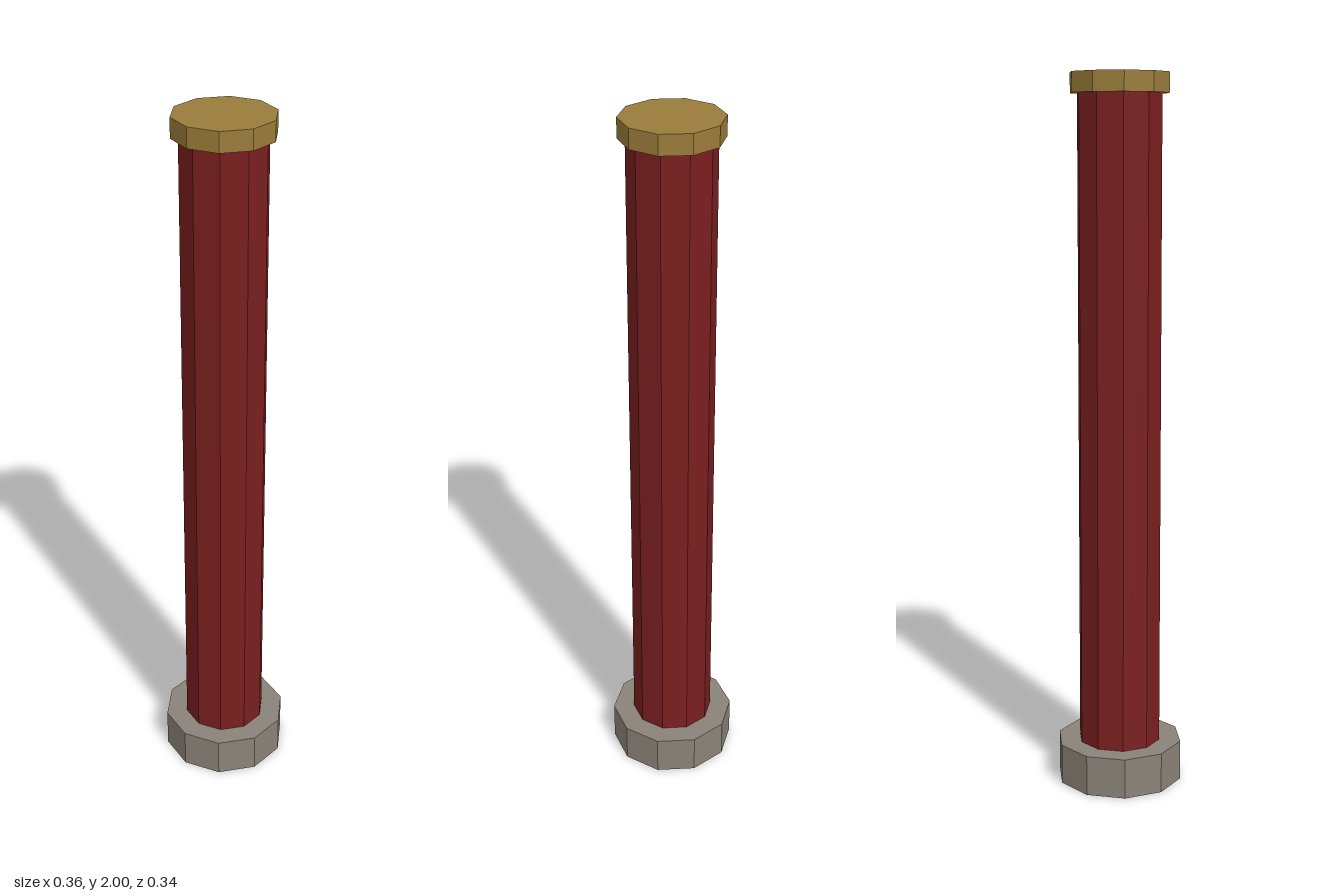
import * as THREE from 'three';

const SIDES = 10;

// Ten-sided drum standing between two heights, with corners on the x axis
function drum(name, radius, bottom, top, color) {
  const geometry = new THREE.CylinderGeometry(radius, radius, top - bottom, SIDES, 1, false, Math.PI / 2);
  const material = new THREE.MeshStandardMaterial({ color, flatShading: true });
  const mesh = new THREE.Mesh(geometry, material);
  mesh.name = name;
  mesh.position.y = (bottom + top) / 2;
  return mesh;
}

export function createModel() {
  const column = new THREE.Group();
  column.name = 'column';
  column.add(
    drum('base', 0.18, 0, 0.115, 0x8a8378),      // stone footing
    drum('shaft', 0.118, 0.115, 1.945, 0x7a1f1f), // red post
    drum('cap', 0.138, 1.945, 2, 0x9a7b3a)        // gilded top
  );
  return column;
}
